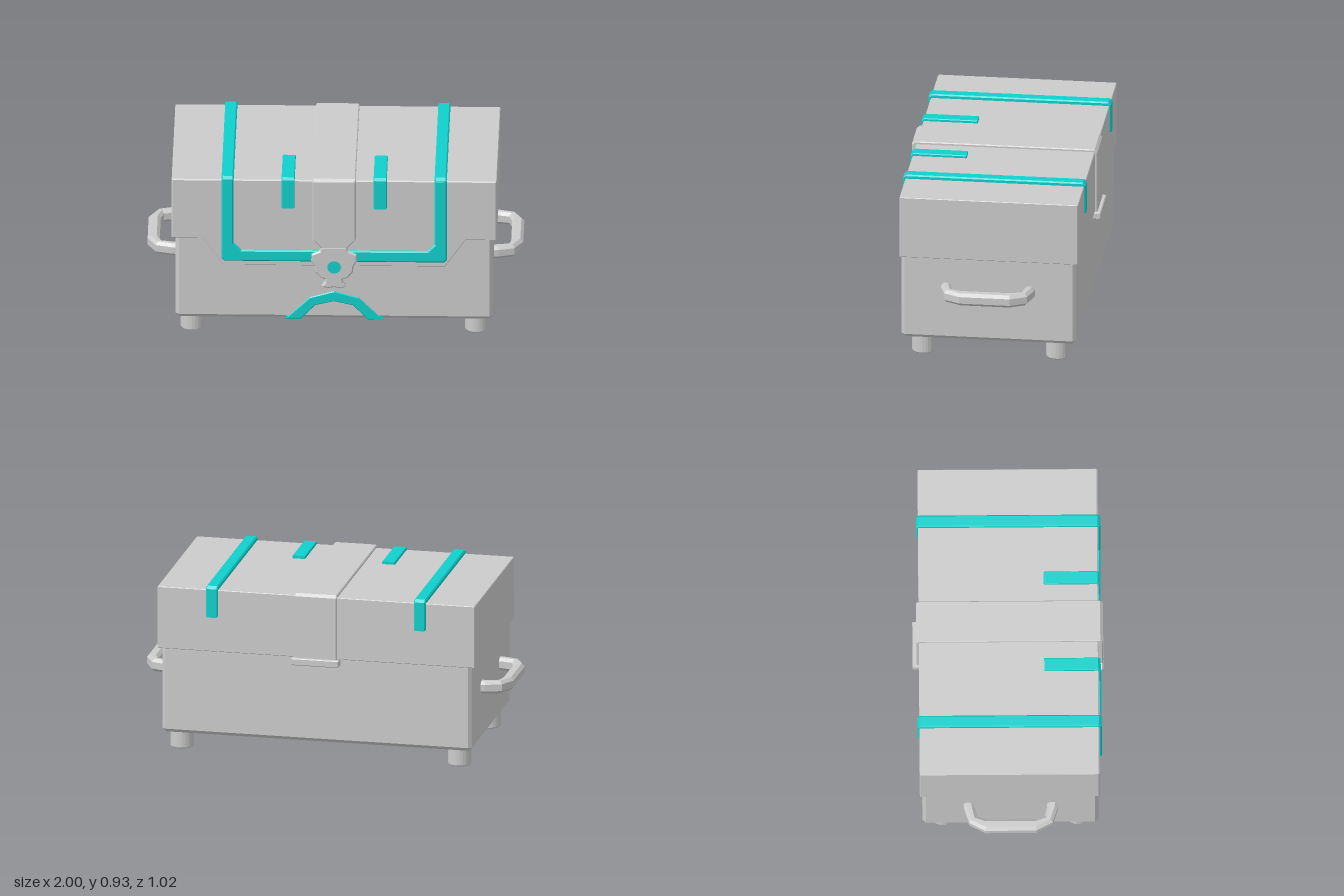
import * as THREE from 'three';

const GREY = 0xcccccc, TEAL = 0x10d0cc;

function mesh(name, geometry, color = GREY) {
  const m = new THREE.Mesh(geometry, new THREE.MeshStandardMaterial({ color, flatShading: true }));
  m.name = name;
  return m;
}

// Chamfered slab: outline in XY, spanning z0..z1
function slab(points, z0, z1, bevel) {
  const shape = new THREE.Shape(points.map(([x, y]) => new THREE.Vector2(x, y)));
  return new THREE.ExtrudeGeometry(shape, {
    depth: z1 - z0 - 2 * bevel, bevelEnabled: bevel > 0, bevelThickness: bevel,
    bevelSize: bevel, bevelOffset: -bevel, bevelSegments: 1, curveSegments: 8,
  }).translate(0, 0, z0 + bevel);
}

// Outline given as (z, y), extruded across x
const acrossX = (points, x0, x1, bevel) => slab(points, -x1, -x0, bevel).rotateY(-Math.PI / 2);

// Outline given as (x, z), extruded upwards
const upY = (points, y0, y1, bevel) =>
  slab(points.map(([x, z]) => [x, -z]), y0, y1, bevel).rotateX(-Math.PI / 2);

// Adds the left-hand copy of a right-hand outline
const symmetric = half => [...half, ...half.filter(p => p[0] !== 0).reverse().map(([x, y]) => [-x, y])];

// Rectangle with cut corners
function cutRect(x0, y0, x1, y1, c) {
  return [[x0 + c, y0], [x1 - c, y0], [x1, y0 + c], [x1, y1 - c],
    [x1 - c, y1], [x0 + c, y1], [x0, y1 - c], [x0, y0 + c]];
}

// Side profile of a band folded over the lid: front drop, top, back drop
function foldedBand(front, top, back, frontY, backY) {
  const c = 0.015;
  return [[front, frontY], [front, top - c], [front - c, top], [back + c, top], [back, top - c],
    [back, backY], [-0.465, backY], [-0.465, 0.895], [0.465, 0.895], [0.465, frontY]];
}

export function createModel() {
  const chest = new THREE.Group();
  chest.name = 'chest';

  // Body with chamfered edges
  chest.add(mesh('body', upY(cutRect(-0.845, -0.463, 0.845, 0.474, 0.018), 0.1, 0.62, 0.02)));

  // Lid and its front panel, which dips over the body
  chest.add(mesh('lid', upY(cutRect(-0.865, -0.477, 0.865, 0.478, 0.004), 0.57, 0.912, 0.003)));
  chest.add(mesh('lidFrontPanel', slab(symmetric([
    [0.862, 0.909], [0.862, 0.57], [0.7, 0.57], [0.59, 0.413]]), 0.455, 0.481, 0.003)));

  // U-shaped trim on the front
  chest.add(mesh('frontTrim', slab([
    [-0.6, 0.92], [-0.6, 0.455], [-0.585, 0.44], [0.585, 0.44], [0.6, 0.455], [0.6, 0.92],
    [0.535, 0.92], [0.535, 0.545], [0.495, 0.505], [-0.495, 0.505], [-0.535, 0.545], [-0.535, 0.92],
  ], 0.465, 0.494, 0.008), TEAL));

  for (const side of [-1, 1]) {
    // Long trim straps over the lid
    const strap = mesh('lidStrap', acrossX(foldedBand(0.493, 0.933, -0.487, 0.8, 0.76), -0.0325, 0.0325, 0.007), TEAL);
    strap.position.x = side * 0.567;
    chest.add(strap);

    // Short trim tabs at the front edge
    const tab = mesh('lidTab', acrossX([
      [0.49, 0.75], [0.49, 0.914], [0.477, 0.927], [0.19, 0.927], [0.19, 0.895], [0.465, 0.895], [0.465, 0.75],
    ], -0.035, 0.035, 0.004), TEAL);
    tab.position.x = side * 0.245;
    chest.add(tab);

    // Carrying handle
    const outer = [[0.83, -0.253], [0.87, -0.249], [0.955, -0.222], [1, -0.135]];
    const inner = [[0.935, -0.13], [0.918, -0.18], [0.87, -0.192], [0.83, -0.195]];
    const flip = list => [...list].reverse().map(([x, z]) => [x, -z]);
    const outline = [...outer, ...flip(outer), ...flip(inner), ...inner];
    chest.add(mesh('handle', upY(outline.map(([x, z]) => [side * x, z + 0.008]), 0.357, 0.426, 0.016)));

    // Feet
    for (const z of [0.363, -0.356]) {
      const profile = [[0, 0], [0.056, 0], [0.062, 0.006], [0.062, 0.115], [0, 0.115]]
        .map(([r, y]) => new THREE.Vector2(r, y));
      const foot = mesh('foot', new THREE.LatheGeometry(profile, 24));
      foot.position.set(side * 0.757, 0, z);
      chest.add(foot);
    }
  }

  // Central band with a tapered front end
  chest.add(mesh('centreBand', acrossX(foldedBand(0.504, 0.926, -0.491, 0.57, 0.55), -0.115, 0.115, 0.005)));
  chest.add(mesh('bandTongue', slab(symmetric([
    [0.115, 0.62], [0.115, 0.575], [0.068, 0.525], [0.068, 0.48]]), 0.465, 0.504, 0.005)));
  chest.add(mesh('backHinge', acrossX(cutRect(-0.51, 0.532, -0.455, 0.57, 0.004), -0.13, 0.13, 0.004)));

  // Latch with three lugs and a round button
  chest.add(mesh('latch', slab(symmetric([
    [0, 0.53], [0.066, 0.53], [0.075, 0.507], [0.12, 0.488], [0.122, 0.45], [0.104, 0.42],
    [0.1, 0.385], [0.072, 0.352], [0.045, 0.342], [0.048, 0.325], [0.064, 0.303], [0.04, 0.29], [0, 0.297],
  ]), 0.465, 0.506, 0.007)));
  const button = mesh('latchButton', new THREE.CylinderGeometry(0.036, 0.036, 0.04, 20).rotateX(Math.PI / 2), TEAL);
  button.position.set(0, 0.415, 0.488);
  chest.add(button);

  // Arched trim on the lower front, repeated on the underside
  const arch = height => symmetric([
    [0, height], [0.13, height * 0.78], [0.26, 0], [0.18, 0], [0.1, height * 0.5], [0, height * 0.64],
  ]);
  // Ordered as outer arc then inner arc so that the outline does not cross itself
  const ordered = height => {
    const p = arch(height).filter(([x]) => x > 0);
    const [a, b, c, d] = p;
    const m = ([x, y]) => [-x, y];
    return [m(b), m(a), [0, height], a, b, c, d, [0, height * 0.64], m(d), m(c)];
  };
  const frontArch = mesh('frontArch', slab(ordered(0.165), 0.455, 0.479, 0.005), TEAL);
  frontArch.position.y = 0.097;
  chest.add(frontArch);
  const underArch = mesh('undersideArch', upY(ordered(0.22).map(([x, y]) => [x, 0.474 - y]), 0.096, 0.122, 0.005), TEAL);
  chest.add(underArch);

  return chest;
}
